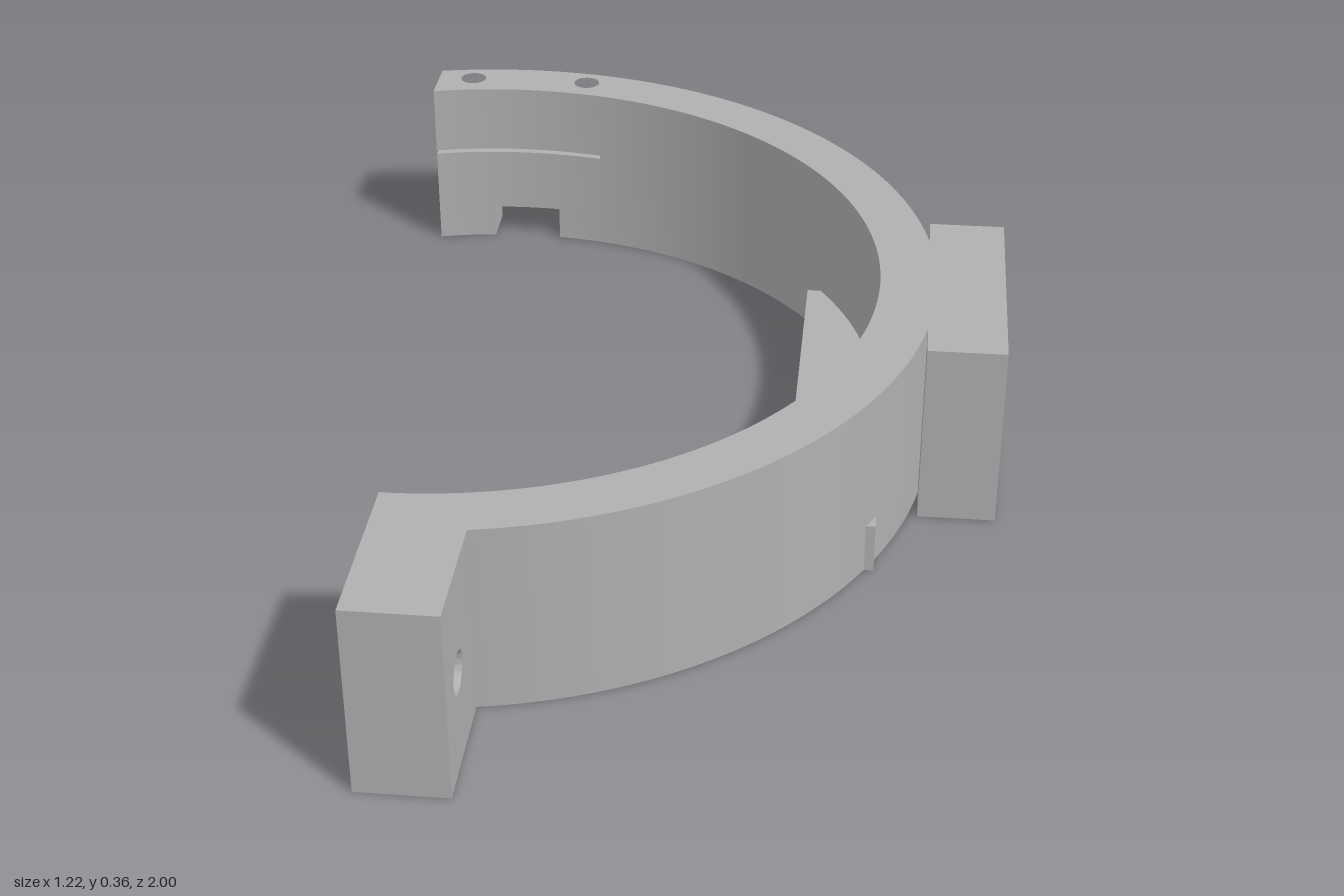
import * as THREE from 'three';
import { toCreasedNormals } from 'three/addons/utils/BufferGeometryUtils.js';

const H = 0.355;                       // full height
const CX = -0.41, CZ = -0.107;         // ring centre
const RI = 0.787, RO = 0.893;          // ring radii
const END = -0.61, ROOT = -0.25;       // clasp end and clasp root

export function createModel() {
  const group = new THREE.Group();
  const grey = new THREE.MeshStandardMaterial({ color: 0xb0b0b0 });
  grey.name = 'plain grey';

  const add = (name, geometry) => {
    const mesh = new THREE.Mesh(toCreasedNormals(geometry, 0.5), grey);
    mesh.name = name;
    group.add(mesh);
  };
  const punch = (shape, holes) => {
    for (const [u, v, r] of holes) {
      const path = new THREE.Path();
      path.absarc(u, v, r, 0, Math.PI * 2, true);
      shape.holes.push(path);
    }
    return shape;
  };
  const extrude = (shape, depth) =>
    new THREE.ExtrudeGeometry(shape, { depth, bevelEnabled: false, curveSegments: 32 });

  // Ring piece between two x cuts at the back; no second cut means run round to the front
  const arcPiece = (name, y0, y1, xa, xb, ro, holes = []) => {
    const n = xb === null ? 96 : 24;
    const arc = (r) => {
      const a = Math.acos((xa - CX) / r);
      const b = xb === null ? -Math.PI / 2 : Math.acos((xb - CX) / r);
      return Array.from({ length: n + 1 }, (_, i) => {
        const t = a + (b - a) * i / n;
        return new THREE.Vector2(CX + r * Math.cos(t), -CZ + r * Math.sin(t));
      });
    };
    const shape = new THREE.Shape([...arc(ro), ...arc(RI).reverse()]);
    punch(shape, holes.map(([x, z]) => [x, -z, 0.027]));
    add(name, extrude(shape, y1 - y0).rotateX(-Math.PI / 2).translate(0, y0, 0));
  };

  // Full-height block with holes bored along x
  const boredBlock = (name, x0, x1, z0, z1, holes) => {
    const shape = new THREE.Shape([[-z1, 0], [-z0, 0], [-z0, H], [-z1, H]]
      .map(([u, v]) => new THREE.Vector2(u, v)));
    punch(shape, holes.map(([z, y, r]) => [-z, y, r]));
    add(name, extrude(shape, x1 - x0).rotateY(Math.PI / 2).translate(x0, 0, 0));
  };

  // Main half ring
  arcPiece('ringBody', 0, H, ROOT, null, RO);

  // Clasp: upper jaw, thin slot, recessed lower arm with a foot
  const endHole = [-0.535, -0.945], rootHole = [-0.285, -0.945];
  const recessed = RO - 0.016;
  arcPiece('upperJaw', 0.213, H, END, ROOT, RO, [endHole, rootHole]);
  arcPiece('lowerArm', 0.07, 0.205, END, ROOT, recessed, [endHole, rootHole]);
  arcPiece('armFoot', 0, 0.07, END, -0.49, recessed);
  arcPiece('armRoot', 0, 0.07, -0.345, ROOT, RO, [rootHole]);

  // Side mount and front lug
  boredBlock('sideMount', 0.467, 0.61, -0.35, 0.14, [[-0.1, 0.273, 0.027], [-0.1, 0.09, 0.027]]);
  boredBlock('frontLug', -0.41, -0.25, 0.7, 1, [[0.9, 0.172, 0.037]]);

  // Low shelf crossing the ring behind the mount
  const shelf = new THREE.BoxGeometry(0.165, 0.095, 0.85);
  add('shelf', shelf.translate(0.309, 0.0475, -0.105));

  return group;
}
